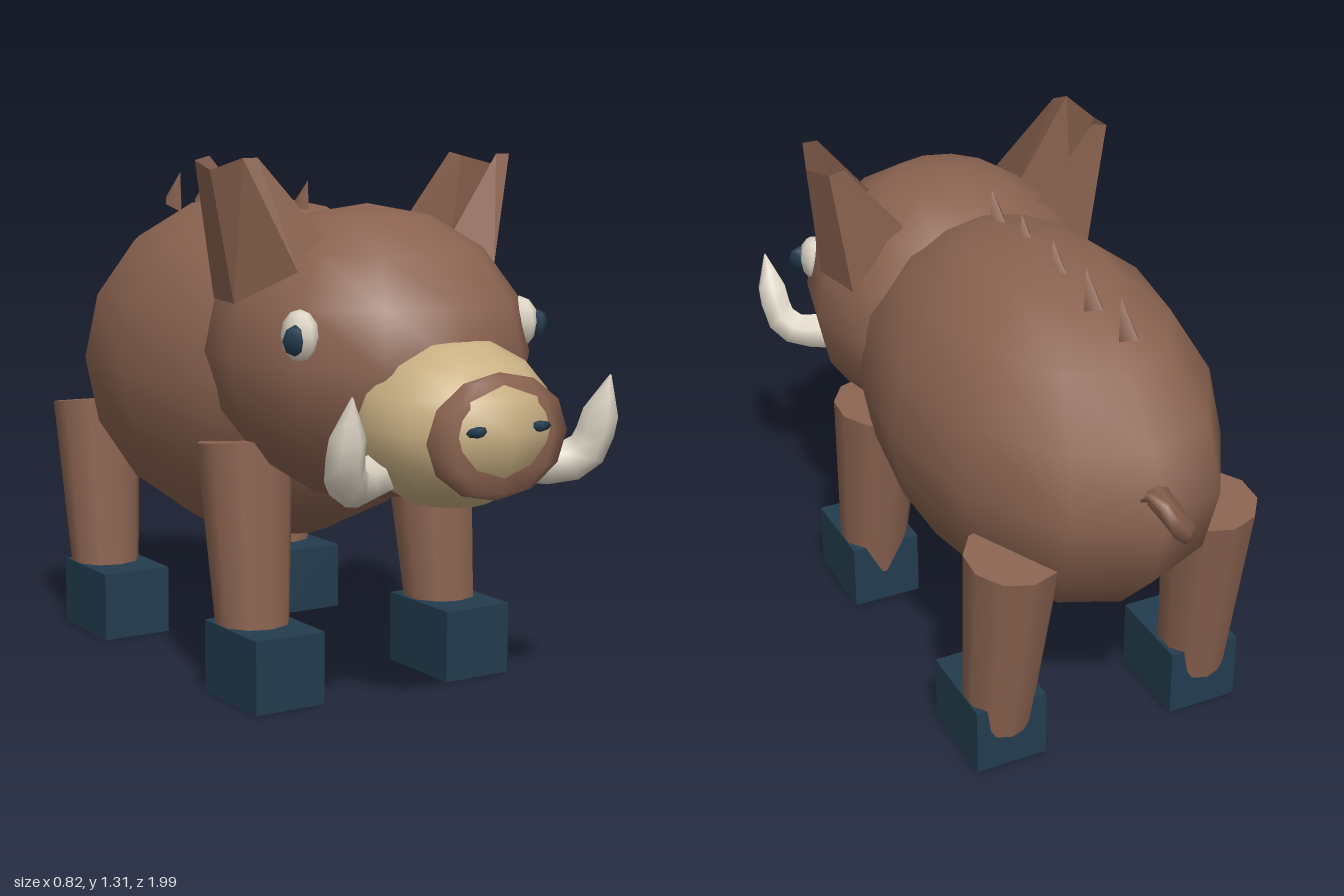
import * as THREE from 'three';

const material = (name, color) => {
  const m = new THREE.MeshStandardMaterial({ color, side: THREE.DoubleSide });
  m.name = name;
  return m;
};

export function createModel() {
  const brown = material('brown hide', 0x8b6350);
  const tan = material('tan snout', 0xc9b083);
  const ivory = material('ivory', 0xdcd4c4);
  const navy = material('dark navy', 0x233c4e);

  const model = new THREE.Group();
  model.name = 'boar';

  const add = (name, geometry, mat, x = 0, y = 0, z = 0) => {
    const mesh = new THREE.Mesh(geometry, mat);
    mesh.name = name;
    mesh.position.set(x, y, z);
    model.add(mesh);
    return mesh;
  };

  // Low-poly ellipsoid with smooth normals
  const blob = (name, mat, [x, y, z], [rx, ry, rz], w = 12, h = 8) =>
    add(name, new THREE.SphereGeometry(1, w, h).scale(rx, ry, rz), mat, x, y, z);

  // Tube along a path whose radius follows a list of values
  const taperedTube = (name, mat, points, radii, sides, steps) => {
    const curve = new THREE.CatmullRomCurve3(points.map(p => new THREE.Vector3(...p)), false, 'catmullrom', 0.3);
    const geometry = new THREE.TubeGeometry(curve, steps, 1, sides);
    const pos = geometry.attributes.position;
    const v = new THREE.Vector3();
    for (let i = 0; i <= steps; i++) {
      const centre = curve.getPointAt(i / steps);
      const t = (i / steps) * (radii.length - 1);
      const k = Math.min(Math.floor(t), radii.length - 2);
      const r = THREE.MathUtils.lerp(radii[k], radii[k + 1], t - k);
      for (let j = 0; j <= sides; j++) {
        const n = i * (sides + 1) + j;
        v.fromBufferAttribute(pos, n).sub(centre).multiplyScalar(r).add(centre);
        pos.setXYZ(n, v.x, v.y, v.z);
      }
    }
    geometry.computeVertexNormals();
    return add(name, geometry, mat);
  };

  // Body, head and snout
  blob('body', brown, [0, 0.75, -0.12], [0.4, 0.45, 0.67]);
  blob('head', brown, [0, 0.835, 0.4], [0.385, 0.36, 0.43]);
  blob('snout', tan, [0, 0.71, 0.75], [0.24, 0.2, 0.25]);
  blob('noseRim', brown, [0, 0.7, 0.935], [0.195, 0.145, 0.035], 8, 6);

  // Ear: folded open shell, base edge to top edge, running from inner back to inner front
  const earBase = [[0.19, 1.12, 0.26], [0.34, 0.97, 0.25], [0.37, 0.97, 0.4], [0.28, 1.05, 0.54], [0.18, 1.12, 0.5]];
  const earTop = [[0.35, 1.31, 0.25], [0.39, 1.3, 0.25], [0.41, 1.28, 0.36], [0.38, 1.31, 0.46], [0.34, 1.31, 0.46]];
  const ear = s => {
    const corners = [];
    for (let i = 0; i < earBase.length - 1; i++) {
      const a = earBase[i], b = earBase[i + 1], c = earTop[i + 1], d = earTop[i];
      for (const p of [a, c, b, a, d, c]) corners.push(p[0] * s, p[1], p[2]);
    }
    const geometry = new THREE.BufferGeometry();
    geometry.setAttribute('position', new THREE.Float32BufferAttribute(corners, 3));
    geometry.computeVertexNormals();
    add('ear', geometry, brown);
  };

  for (const s of [1, -1]) {
    ear(s);

    // Eyes and nostrils
    blob('eye', ivory, [s * 0.312, 0.91, 0.6], [0.04, 0.062, 0.055], 8, 6);
    blob('pupil', navy, [s * 0.343, 0.905, 0.63], [0.034, 0.036, 0.022], 4, 4);
    blob('nostril', navy, [s * 0.085, 0.722, 0.975], [0.033, 0.013, 0.012], 4, 4);

    // Upturned tusks
    taperedTube('tusk', ivory,
      [[s * 0.19, 0.6, 0.73], [s * 0.3, 0.595, 0.8], [s * 0.345, 0.64, 0.84], [s * 0.358, 0.81, 0.89]],
      [0.055, 0.053, 0.048, 0.042, 0.002], 6, 8);

    // Slanted legs on square hooves
    for (const [name, topZ, bottomZ, hoofZ] of [['front', 0.275, 0.335, 0.375], ['rear', -0.545, -0.475, -0.425]]) {
      const top = new THREE.Vector3(s * 0.27, 0.62, topZ);
      const bottom = new THREE.Vector3(s * 0.28, 0.1, bottomZ);
      const axis = top.clone().sub(bottom);
      const leg = add(name + 'Leg', new THREE.CylinderGeometry(0.12, 0.088, axis.length(), 10), brown);
      leg.position.copy(top).add(bottom).multiplyScalar(0.5);
      leg.quaternion.setFromUnitVectors(new THREE.Vector3(0, 1, 0), axis.normalize());
      add(name + 'Hoof', new THREE.BoxGeometry(0.19, 0.18, 0.25), navy, s * 0.275, 0.09, hoofZ);
    }
  }

  // Row of bristles leaning forward along the back
  for (let i = 0; i < 5; i++) {
    const bristle = add('bristle', new THREE.ConeGeometry(1, 0.1, 4).scale(0.025, 1, 0.048), brown,
      0, 1.195, 0.11 - i * 0.17);
    bristle.rotation.x = 0.42;
  }

  // Curled tail
  taperedTube('tail', brown,
    [[0, 0.825, -0.72], [0.03, 0.835, -0.92], [0.08, 0.89, -0.975], [0.125, 0.965, -0.95], [0.13, 0.93, -0.9]],
    [0.032, 0.028, 0.026, 0.018, 0.004], 6, 10);

  return model;
}
